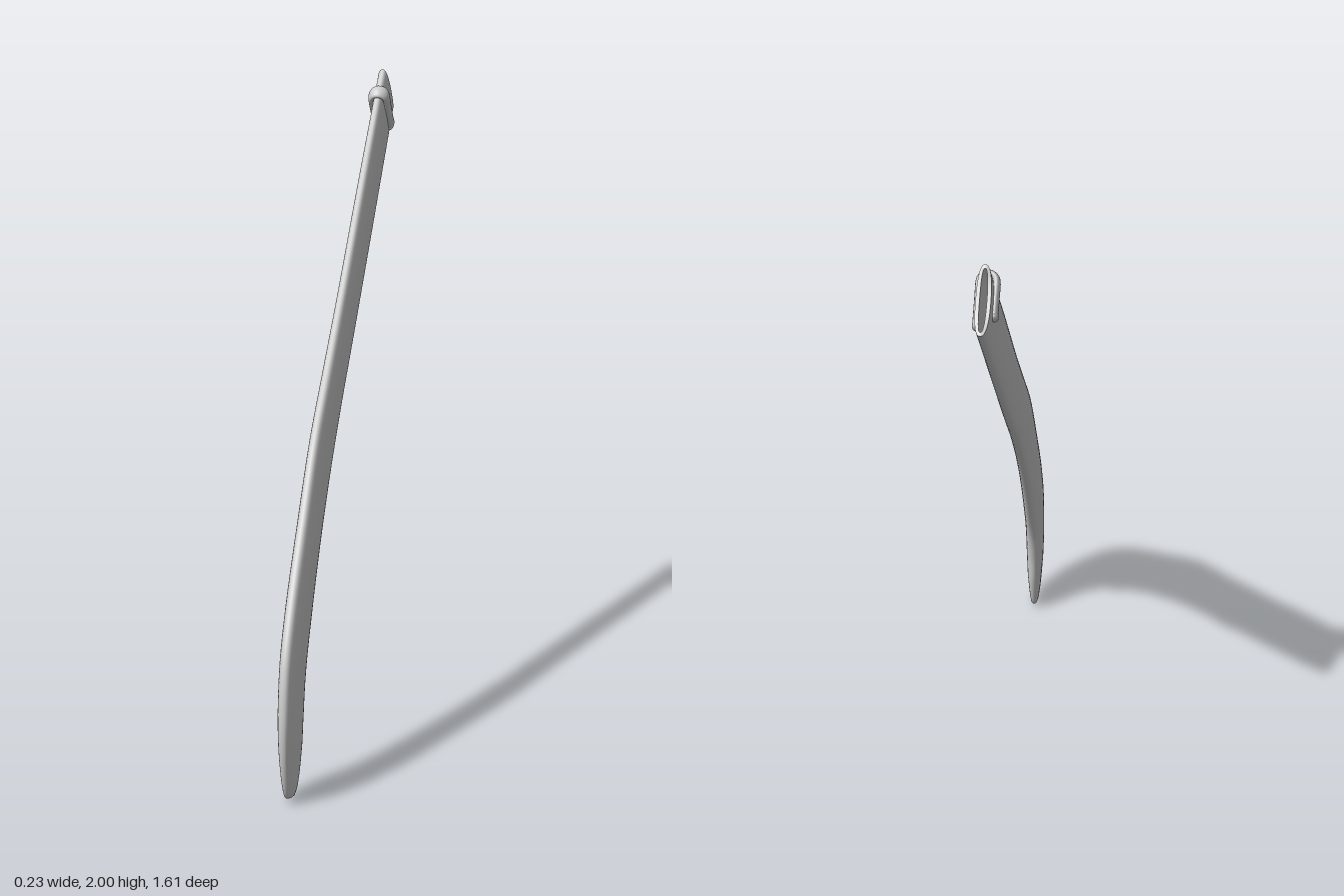
import * as THREE from 'three';

const LEAN = 0.117; // sideways slant of the blade plane: x = LEAN * z
const SEGMENTS = 40;
const NORMAL = new THREE.Vector3(1, 0, -LEAN).normalize();

// Stations from mouth to tip: outer edge z, y, inner edge z, y, half thickness
const STATIONS = [
  [-0.67, 2.0, -0.8, 1.85, 0.021],
  [-0.33, 1.68, -0.46, 1.52, 0.023],
  [0, 1.36, -0.13, 1.2, 0.024],
  [0.2, 1.175, 0.06, 1.02, 0.025],
  [0.37, 1.015, 0.22, 0.85, 0.026],
  [0.54, 0.8, 0.37, 0.665, 0.027],
  [0.695, 0.59, 0.495, 0.475, 0.028],
  [0.775, 0.44, 0.565, 0.345, 0.028],
  [0.807, 0.28, 0.593, 0.24, 0.027],
  [0.807, 0.18, 0.607, 0.14, 0.024],
  [0.787, 0.08, 0.63, 0.06, 0.018],
  [0.765, 0.03, 0.65, 0.02, 0.013],
  [0.75, 0.018, 0.672, 0.003, 0.008],
];

const planePoint = (z, y) => new THREE.Vector3(LEAN * z, y, z);
const outerEdge = new THREE.CatmullRomCurve3(STATIONS.map(s => planePoint(s[0], s[1])), false, 'centripetal');
const innerEdge = new THREE.CatmullRomCurve3(STATIONS.map(s => planePoint(s[2], s[3])), false, 'centripetal');

function thicknessAt(u) {
  const f = u * (STATIONS.length - 1);
  const i = Math.min(Math.floor(f), STATIONS.length - 2);
  return THREE.MathUtils.lerp(STATIONS[i][4], STATIONS[i + 1][4], f - i);
}

// Rounded flat cross-section at u, optionally inset by a wall thickness
function ring(u, wall = 0) {
  const a = outerEdge.getPoint(u), b = innerEdge.getPoint(u);
  const centre = a.clone().add(b).multiplyScalar(0.5);
  const across = a.sub(b).multiplyScalar(0.5);
  across.setLength(Math.max(across.length() - wall, 0.01));
  const half = Math.max(thicknessAt(u) - wall, 0.003);
  const axis = across.clone().normalize().cross(NORMAL);
  const dip = 0.012 * Math.max(0, 1 - u * 12); // slightly hollowed mouth
  return Array.from({ length: SEGMENTS }, (_, j) => {
    const t = (j / SEGMENTS) * Math.PI * 2;
    const c = Math.cos(t), s = Math.sin(t);
    return centre.clone()
      .addScaledVector(across, Math.sign(c) * Math.abs(c) ** 0.85)
      .addScaledVector(NORMAL, half * Math.sign(s) * Math.abs(s) ** 0.75)
      .addScaledVector(axis, -dip * s * s);
  });
}

// Skin a list of closed rings
function loft(rings) {
  const positions = rings.flat().flatMap(p => p.toArray());
  const index = [];
  for (let i = 0; i < rings.length - 1; i++) {
    for (let j = 0; j < SEGMENTS; j++) {
      const k = (j + 1) % SEGMENTS;
      const a = i * SEGMENTS + j, c = i * SEGMENTS + k;
      const b = a + SEGMENTS, d = c + SEGMENTS;
      index.push(a, b, c, b, d, c);
    }
  }
  const geometry = new THREE.BufferGeometry();
  geometry.setAttribute('position', new THREE.Float32BufferAttribute(positions, 3));
  geometry.setIndex(index);
  geometry.computeVertexNormals();
  return geometry;
}

// All points of a ring gathered at its middle, to close an end
function collapse(points) {
  const middle = new THREE.Vector3();
  points.forEach(p => middle.addScaledVector(p, 1 / points.length));
  return points.map(() => middle.clone());
}

export function createModel() {
  const group = new THREE.Group();
  const material = new THREE.MeshStandardMaterial({ color: 0xcccccc });
  const add = (name, geometry, parent = group) => {
    const mesh = new THREE.Mesh(geometry, material);
    mesh.name = name;
    parent.add(mesh);
    return mesh;
  };

  // Hollow curved sheath
  const WALL = 0.011, STEPS = 72;
  const shell = [], lining = [];
  for (let i = 0; i <= STEPS; i++) {
    shell.push(ring(i / STEPS));
    lining.unshift(ring((i / STEPS) * 0.9, WALL));
  }
  const tip = shell[STEPS];
  add('sheathShell', loft(shell));
  add('sheathTip', loft([tip, collapse(tip)]));
  add('mouthRim', loft([ring(0, WALL), ring(0)]));
  add('sheathLining', loft([collapse(lining[0]), ...lining]));

  // Belt clip: a flattened U hooked over the outer edge, near the mouth
  const clip = new THREE.Group();
  clip.name = 'beltClip';
  const R = 0.0105, LEG = 0.024, FLAT = 2.4;
  const ends = [[-LEG, 0.112], [LEG, 0.14]];
  const path = [new THREE.Vector3(...ends[0], 0), new THREE.Vector3(-LEG, 0.06, 0)];
  for (let i = 0; i <= 8; i++) {
    const t = (i / 8) * Math.PI;
    path.push(new THREE.Vector3(-LEG * Math.cos(t), 0.015 - 0.025 * Math.sin(t), 0));
  }
  path.push(new THREE.Vector3(LEG, 0.06, 0), new THREE.Vector3(...ends[1], 0));
  const curve = new THREE.CatmullRomCurve3(path, false, 'centripetal');
  add('clipBand', new THREE.TubeGeometry(curve, 60, R, 16).scale(1, 1, FLAT), clip);
  for (const [x, y] of ends) {
    add('clipEnd', new THREE.SphereGeometry(R * 1.08, 16, 12).scale(1, 1, FLAT).translate(x, y, 0), clip);
  }
  const across = planePoint(-0.13, -0.15).normalize();
  const along = NORMAL.clone().cross(across);
  clip.applyMatrix4(new THREE.Matrix4().makeBasis(NORMAL, across, along).setPosition(planePoint(-0.603, 1.927)));
  group.add(clip);

  return group;
}
